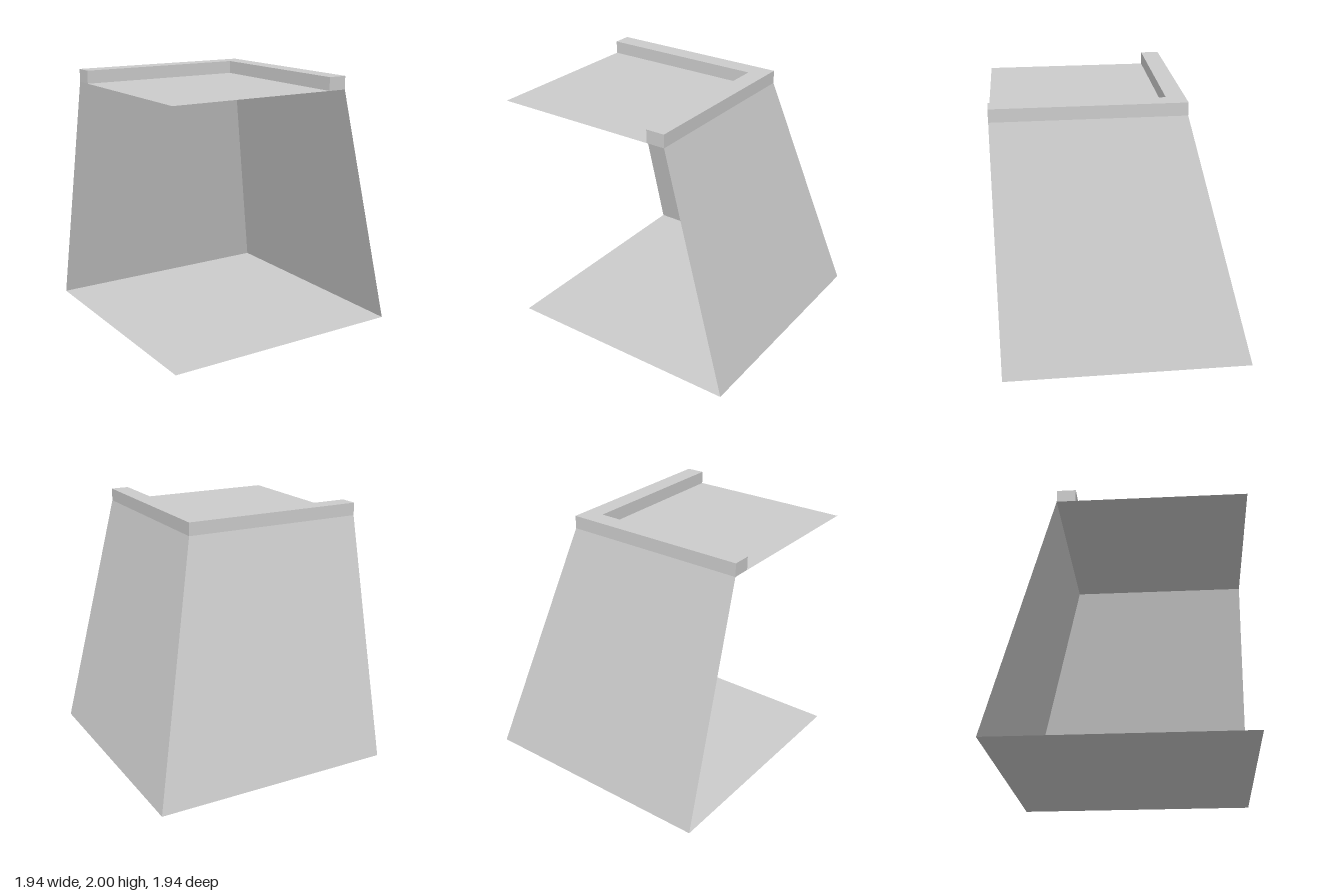
import * as THREE from 'three';

const OUT = 0.97;    // base half-width
const IN = 0.485;    // wall top, outer edge of the rim
const LIP = 0.34;    // inner edge of the rim
const DECK = 1.9;    // height of the upper deck
const TOP = 2;       // top of the rim

// Flat four-cornered panel, corners counter-clockwise seen from outside
function panel(name, corners, material) {
  const geometry = new THREE.BufferGeometry();
  geometry.setAttribute('position', new THREE.Float32BufferAttribute(corners.flat(), 3));
  geometry.setIndex([0, 1, 2, 0, 2, 3]);
  geometry.computeVertexNormals();
  const mesh = new THREE.Mesh(geometry, material);
  mesh.name = name;
  return mesh;
}

export function createModel() {
  const group = new THREE.Group();
  group.name = 'cornerBlock';
  const grey = new THREE.MeshStandardMaterial({ color: 0xcccccc, side: THREE.DoubleSide });
  grey.name = 'plainGrey';

  // Base, facing down
  group.add(panel('base', [
    [-OUT, 0, -OUT], [OUT, 0, -OUT], [OUT, 0, OUT], [-OUT, 0, OUT],
  ], grey));

  // Two sloping walls meeting at the back left corner; the other sides stay open
  group.add(panel('leftWall', [
    [OUT, 0, OUT], [OUT, 0, -OUT], [IN, DECK, -IN], [IN, DECK, OUT],
  ], grey));
  group.add(panel('backWall', [
    [OUT, 0, -OUT], [-OUT, 0, -OUT], [-OUT, DECK, -IN], [IN, DECK, -IN],
  ], grey));

  // Upper deck inside the rim
  group.add(panel('deck', [
    [-OUT, DECK, OUT], [LIP, DECK, OUT], [LIP, DECK, -LIP], [-OUT, DECK, -LIP],
  ], grey));

  // L-shaped raised rim along the two wall tops
  const outline = new THREE.Shape([
    [-OUT, LIP], [LIP, LIP], [LIP, -OUT], [IN, -OUT], [IN, IN], [-OUT, IN],
  ].map(([x, y]) => new THREE.Vector2(x, y)));
  const rimGeometry = new THREE.ExtrudeGeometry(outline, { depth: TOP - DECK, bevelEnabled: false });
  rimGeometry.rotateX(-Math.PI / 2).translate(0, DECK, 0);
  const rim = new THREE.Mesh(rimGeometry, grey);
  rim.name = 'rim';
  group.add(rim);

  return group;
}
